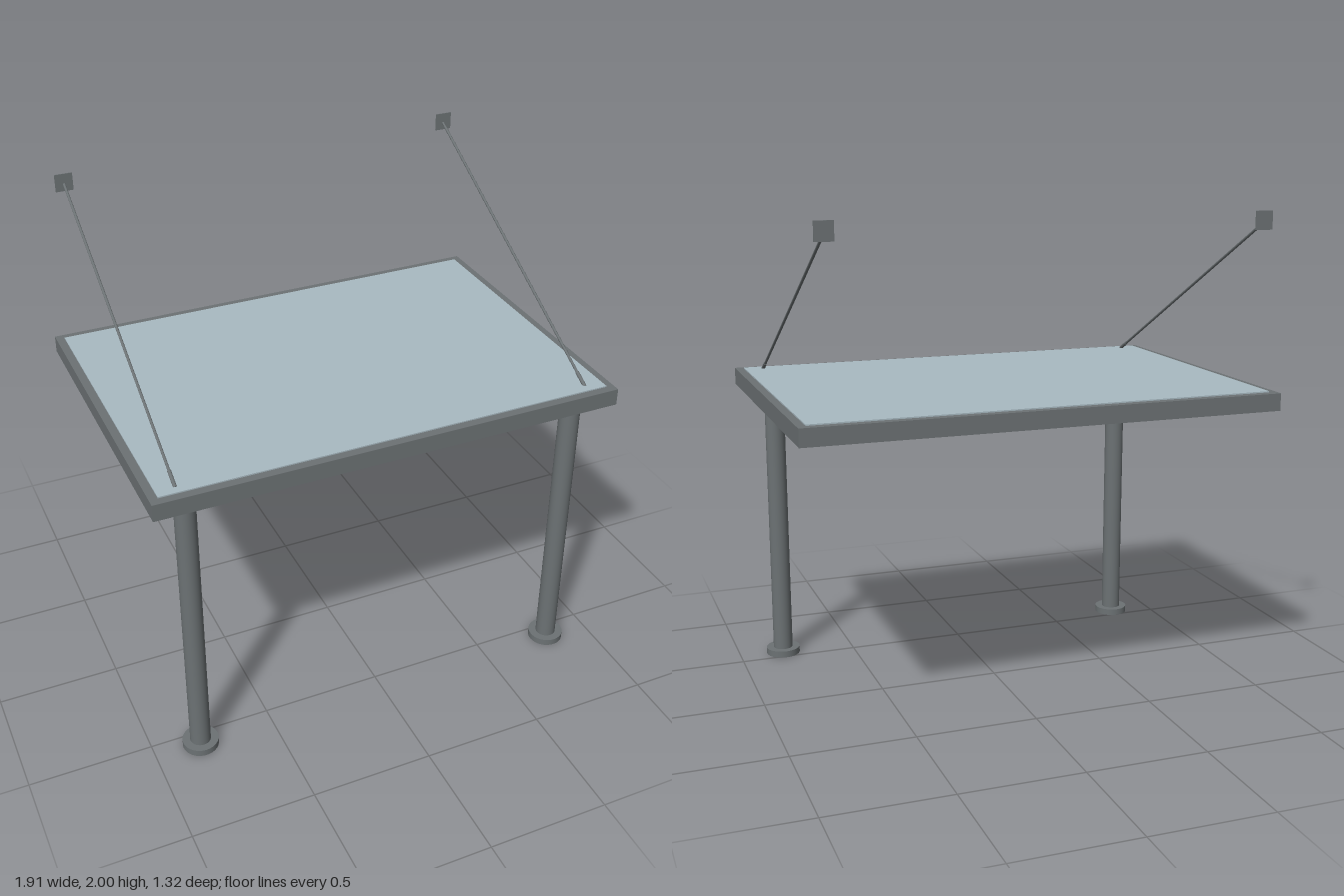
import * as THREE from 'three';

export function createModel() {
  const root = new THREE.Group();
  root.name = 'canopy';

  const mat = (name, color) => {
    const m = new THREE.MeshStandardMaterial({ color });
    m.name = name;
    return m;
  };
  const steel = mat('grey steel', 0x6c7274);
  const glass = mat('pale blue panel', 0xa9bac2);
  const lampGrey = mat('light grey lamp', 0xb4b9bb);

  const add = (name, geometry, material, x, y, z, parent = root) => {
    const mesh = new THREE.Mesh(geometry, material);
    mesh.name = name;
    mesh.position.set(x, y, z);
    parent.add(mesh);
    return mesh;
  };
  const box = (w, h, d) => new THREE.BoxGeometry(w, h, d);
  const cyl = (r, h, n = 32, rBottom = r) => new THREE.CylinderGeometry(r, rBottom, h, n);

  // Roof frame: rectangle with a rectangular opening
  const rect = (Type, w, d) => new Type([
    new THREE.Vector2(-w, -d), new THREE.Vector2(w, -d),
    new THREE.Vector2(w, d), new THREE.Vector2(-w, d),
  ]);
  const outline = rect(THREE.Shape, 0.957, 0.66);
  outline.holes.push(rect(THREE.Path, 0.922, 0.625));
  const frameGeo = new THREE.ExtrudeGeometry(outline, { depth: 0.07, bevelEnabled: false });
  frameGeo.rotateX(-Math.PI / 2);
  add('roofFrame', frameGeo, steel, 0, 1.222, 0);

  // Roof panel, standing just proud of the frame
  add('roofPanel', box(1.848, 0.019, 1.252), glass, 0, 1.2875, 0);

  // Ribs below the panel, running front to back
  for (let i = -2; i <= 2; i++) {
    add('roofRib', box(0.018, 0.036, 1.25), glass, i * 0.308, 1.261, 0);
  }

  // Ceiling lamps
  for (const x of [-0.48, 0, 0.48]) {
    const lamp = new THREE.Group();
    lamp.name = 'ceilingLamp';
    lamp.position.set(x, 0, 0);
    add('lampStem', cyl(0.01, 0.06, 12), steel, 0, 1.25, 0, lamp);
    add('lampDisc', cyl(0.037, 0.012), lampGrey, 0, 1.218, 0, lamp);
    add('lampLens', cyl(0.037, 0.007, 32, 0.027), lampGrey, 0, 1.2085, 0, lamp);
    root.add(lamp);
  }

  for (const s of [-1, 1]) {
    // Front post with base plate and square head
    const post = new THREE.Group();
    post.name = s > 0 ? 'leftPost' : 'rightPost';
    post.position.set(s * 0.81, 0, 0.56);
    add('postBase', cyl(0.073, 0.028), steel, 0, 0.014, 0, post);
    add('postShaft', cyl(0.042, 1.25), steel, 0, 0.653, 0, post);
    add('postHead', box(0.1, 0.03, 0.1), steel, 0, 1.204, 0, post);
    root.add(post);

    // Tie rod from the front of the roof up to the wall plate
    const tie = new THREE.Group();
    tie.name = s > 0 ? 'leftTie' : 'rightTie';
    const low = new THREE.Vector3(s * 0.848, 1.293, 0.59);
    const high = new THREE.Vector3(s * 0.848, 1.957, -0.657);
    const dir = high.clone().sub(low);
    const rodPart = (name, r, from, to) => {
      const mid = low.clone().addScaledVector(dir, (from + to) / 2);
      const rod = add(name, cyl(r, dir.length() * (to - from), 12), steel, mid.x, mid.y, mid.z, tie);
      rod.quaternion.setFromUnitVectors(new THREE.Vector3(0, 1, 0), dir.clone().normalize());
    };
    rodPart('tieRod', 0.0055, 0, 1);
    rodPart('tieSleeve', 0.0075, 0, 0.05);
    add('wallPlate', box(0.072, 0.072, 0.004), steel, s * 0.848, 1.964, -0.658, tie);
    root.add(tie);
  }
  return root;
}
